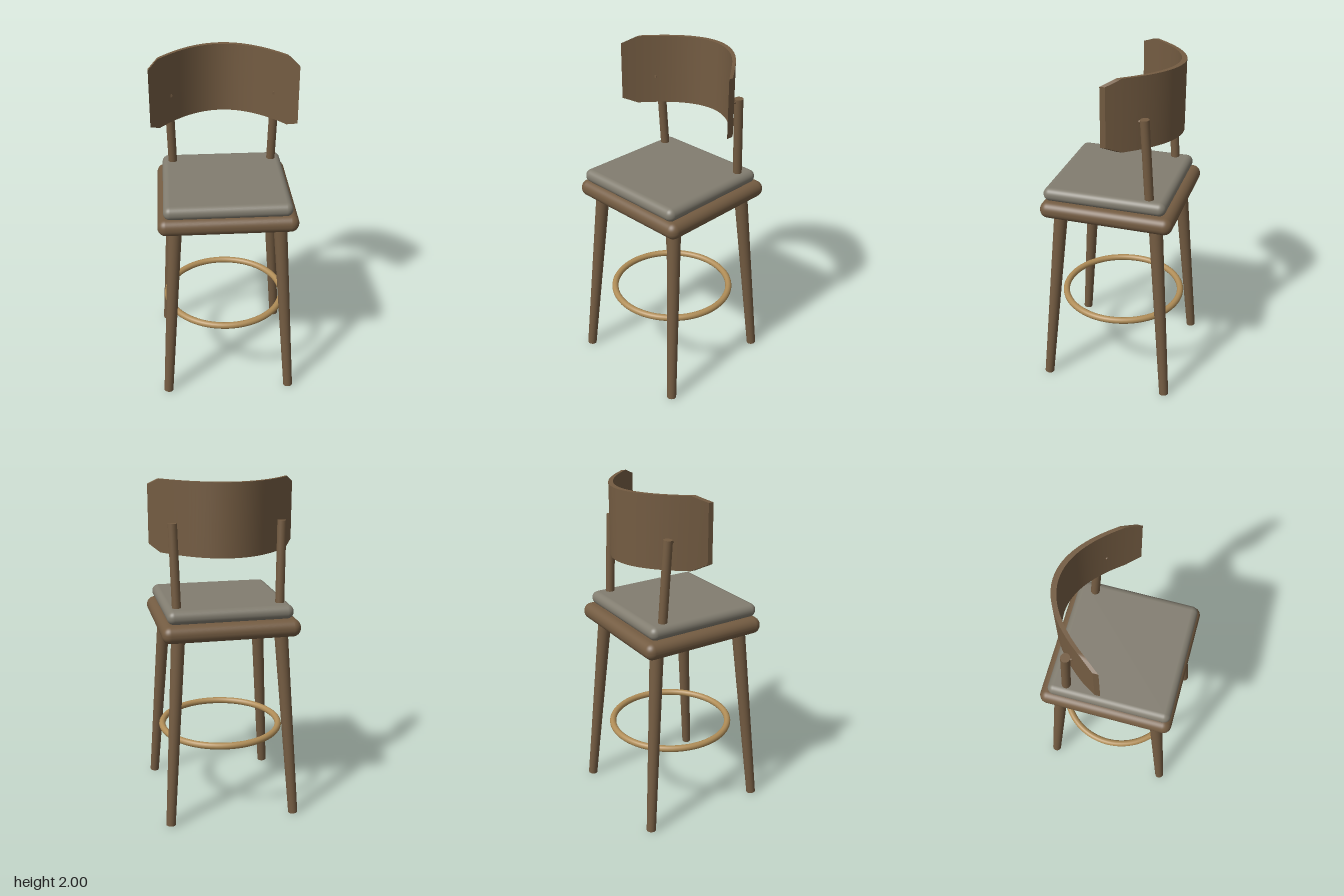
import * as THREE from 'three';
import { RoundedBoxGeometry } from 'three/addons/geometries/RoundedBoxGeometry.js';

const mat = (name, color) => {
  const m = new THREE.MeshStandardMaterial({ color });
  m.name = name;
  return m;
};

// Tapered round bar between two points
function bar(name, a, b, rA, rB, material) {
  const from = new THREE.Vector3(...a), to = new THREE.Vector3(...b);
  const dir = to.clone().sub(from);
  const mesh = new THREE.Mesh(new THREE.CylinderGeometry(rB, rA, dir.length(), 24), material);
  mesh.position.copy(from).add(to).multiplyScalar(0.5);
  mesh.quaternion.setFromUnitVectors(new THREE.Vector3(0, 1, 0), dir.normalize());
  mesh.name = name;
  return mesh;
}

// Panel bent along a parabola, with its four corners cut off
function backrestGeometry() {
  const half = 0.42, height = 0.41, depth = 0.322, cutX = 0.0525, cutY = 0.036;
  const geo = new THREE.BoxGeometry(half * 2, height, 0.03, 48, 1, 1);
  const p = geo.attributes.position;
  for (let i = 0; i < p.count; i++) {
    const x = p.getX(i), y = p.getY(i);
    const cut = Math.max(0, (Math.abs(x) - (half - cutX)) / cutX) * cutY;
    p.setY(i, y - Math.sign(y) * cut);
    p.setZ(i, p.getZ(i) - 0.337 + depth * (x / half) ** 2);
  }
  geo.computeVertexNormals();
  return geo;
}

export function createModel() {
  const group = new THREE.Group();
  group.name = 'barStool';
  const wood = mat('darkWood', 0x745c42);
  const fabric = mat('greyFabric', 0x827d70);
  const brass = mat('brass', 0xb08d57);

  const add = (name, geo, material, x, y, z) => {
    const mesh = new THREE.Mesh(geo, material);
    mesh.name = name;
    mesh.position.set(x, y, z);
    group.add(mesh);
    return mesh;
  };

  // Seat board and cushion
  add('seat', new RoundedBoxGeometry(0.8, 0.1, 0.78, 6, 0.048), wood, 0, 1.17, 0);
  add('cushion', new RoundedBoxGeometry(0.73, 0.08, 0.72, 6, 0.039), fabric, 0, 1.258, 0.015);

  // Foot ring
  add('footRing', new THREE.TorusGeometry(0.362, 0.02, 16, 72), brass, 0, 0.475, 0)
    .rotation.x = Math.PI / 2;

  // Curved backrest
  add('backrest', backrestGeometry(), wood, 0, 1.795, 0);

  for (const s of [1, -1]) {
    const side = s > 0 ? 'left' : 'right';
    // Splayed legs
    group.add(bar(side + 'FrontLeg', [s * 0.376, 0.003, 0.378], [s * 0.3, 1.15, 0.283], 0.028, 0.04, wood));
    group.add(bar(side + 'BackLeg', [s * 0.376, 0.003, -0.375], [s * 0.3, 1.15, -0.28], 0.028, 0.04, wood));
    // Back posts and the small dowels that fix them to the backrest
    group.add(bar(side + 'BackPost', [s * 0.299, 1.2, -0.247], [s * 0.312, 1.768, -0.212], 0.026, 0.026, wood));
    group.add(bar(side + 'Dowel', [s * 0.312, 1.752, -0.212], [s * 0.298, 1.752, -0.157], 0.009, 0.009, wood));
  }
  return group;
}
